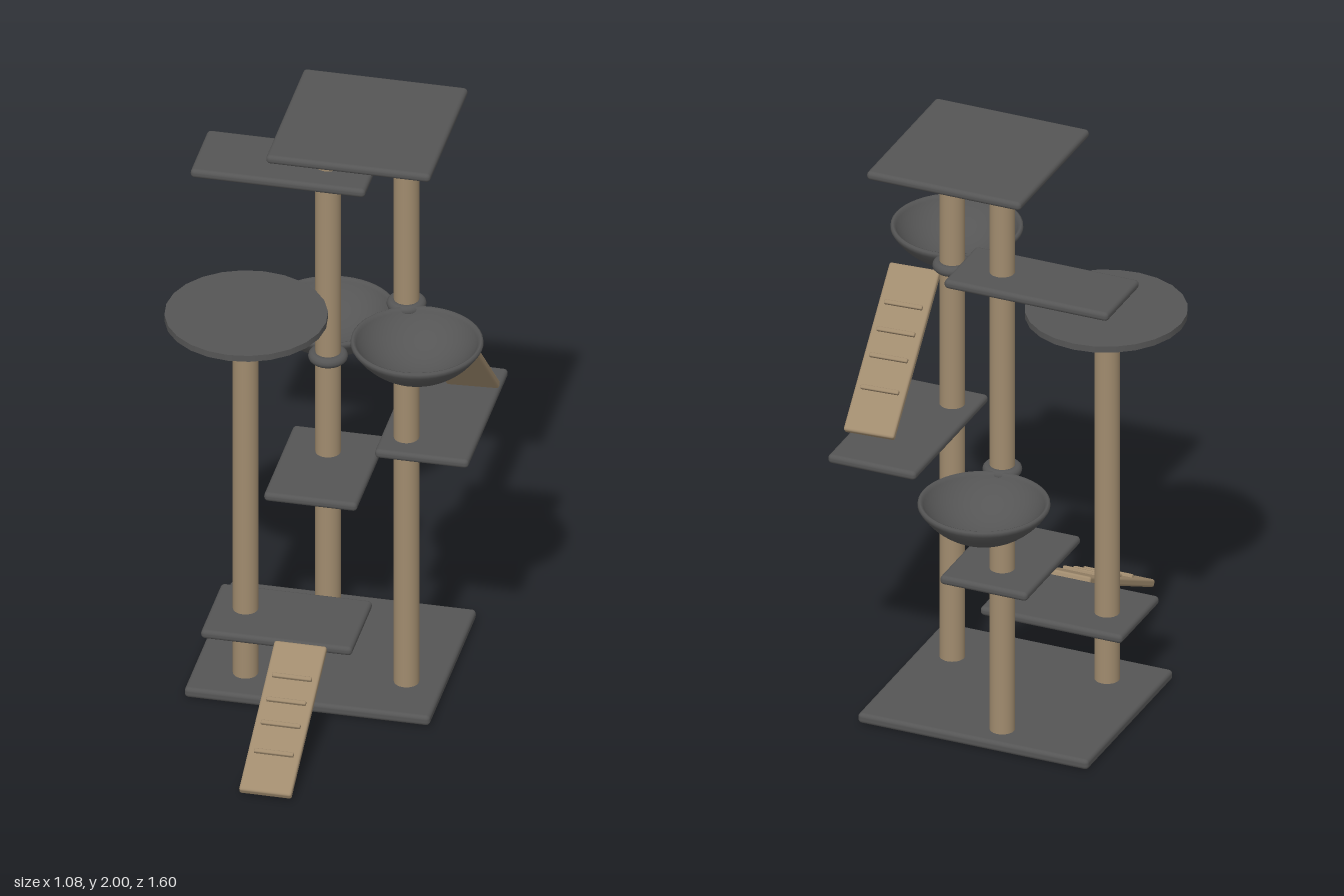
import * as THREE from 'three';
import { RoundedBoxGeometry } from 'three/addons/geometries/RoundedBoxGeometry.js';

export function createModel() {
  const model = new THREE.Group();
  model.name = 'catTree';
  const plush = new THREE.MeshStandardMaterial({ color: 0x555555 });
  plush.name = 'charcoal plush';
  const sisal = new THREE.MeshStandardMaterial({ color: 0xa08b6e });
  sisal.name = 'tan sisal';

  function add(name, geometry, material, x, y, z, parent = model) {
    const mesh = new THREE.Mesh(geometry, material);
    mesh.name = name;
    mesh.position.set(x, y, z);
    parent.add(mesh);
    return mesh;
  }

  // Padded boards, given by their extents
  function board(name, x0, x1, y0, y1, z0, z1) {
    const geometry = new RoundedBoxGeometry(x1 - x0, y1 - y0, z1 - z0, 3, 0.0135);
    add(name, geometry, plush, (x0 + x1) / 2, (y0 + y1) / 2, (z0 + z1) / 2);
  }
  board('base', -0.45, 0.355, 0, 0.036, -0.43, 0.253);
  board('lowShelf', -0.39, 0.106, 0.246, 0.277, -0.025, 0.281);
  board('backShelf', -0.255, 0.05, 0.59, 0.621, -0.472, -0.036);
  board('rightShelf', 0.152, 0.459, 0.922, 0.953, -0.433, 0.155);
  board('highShelf', -0.535, 0.038, 1.664, 1.695, -0.466, -0.207);
  board('topPlatform', -0.208, 0.331, 1.97, 2, -0.416, 0.141);

  // Posts
  const posts = [
    ['frontPost', -0.28, 0.112, 1.37],
    ['backPost', -0.111, -0.336, 1.985],
    ['rightPost', 0.234, 0.05, 1.985],
  ];
  for (const [name, x, z, top] of posts) {
    const height = top - 0.02;
    add(name, new THREE.CylinderGeometry(0.041, 0.041, height, 32), sisal, x, 0.02 + height / 2, z);
  }

  // Round perch
  add('roundPerch', new THREE.CylinderGeometry(0.262, 0.262, 0.022, 24), plush, -0.279, 1.37, 0.107);

  // Hanging bowl: a spherical cap outside and inside, joined by a rounded rim
  function bowlGeometry() {
    const points = [];
    const steps = 14;
    const cap = (width, depth, bottom, t) => {
      const R = (width * width + depth * depth) / (2 * depth);
      const a = Math.asin(width / R) * t;
      return new THREE.Vector2(R * Math.sin(a), bottom + R * (1 - Math.cos(a)));
    };
    for (let i = 0; i <= steps; i++) points.push(cap(0.207, 0.112, 0, i / steps));
    points.push(
      new THREE.Vector2(0.213, 0.122),
      new THREE.Vector2(0.212, 0.131),
      new THREE.Vector2(0.206, 0.135),
      new THREE.Vector2(0.199, 0.132),
    );
    for (let i = steps; i >= 0; i--) points.push(cap(0.195, 0.109, 0.014, i / steps));
    return new THREE.LatheGeometry(points, 48);
  }

  function hangingBowl(name, x, y, z, postX, postZ) {
    const group = new THREE.Group();
    group.name = name;
    model.add(group);
    add('bowl', bowlGeometry(), plush, x, y, z, group);
    // Collar holding the bowl to its post
    const collar = new THREE.TorusGeometry(0.046, 0.018, 12, 32).rotateX(Math.PI / 2);
    add('collar', collar, plush, postX, y + 0.12, postZ, group);
  }
  hangingBowl('upperBowl', 0.322, 1.336, 0.286, 0.234, 0.05);
  hangingBowl('lowerBowl', -0.158, 0.86, -0.588, -0.111, -0.336);

  // Ramps with small climbing rungs, from the low end to the high end
  function ramp(name, low, high) {
    const group = new THREE.Group();
    group.name = name;
    const length = low.distanceTo(high);
    group.position.copy(low).lerp(high, 0.5);
    group.lookAt(high);
    model.add(group);
    add('rampBoard', new RoundedBoxGeometry(0.172, 0.026, length, 2, 0.008), sisal, 0, 0, 0, group);
    for (const t of [0.26, 0.45, 0.605, 0.765]) {
      const rung = new RoundedBoxGeometry(0.13, 0.018, 0.015, 2, 0.004);
      add('rung', rung, sisal, 0, 0.015, (t - 0.5) * length, group);
    }
  }
  ramp('frontRamp', new THREE.Vector3(-0.061, 0.015, 0.794), new THREE.Vector3(-0.058, 0.273, 0.287));
  ramp('upperRamp', new THREE.Vector3(0.376, 0.972, -0.289), new THREE.Vector3(0.405, 1.362, 0.147));

  return model;
}
